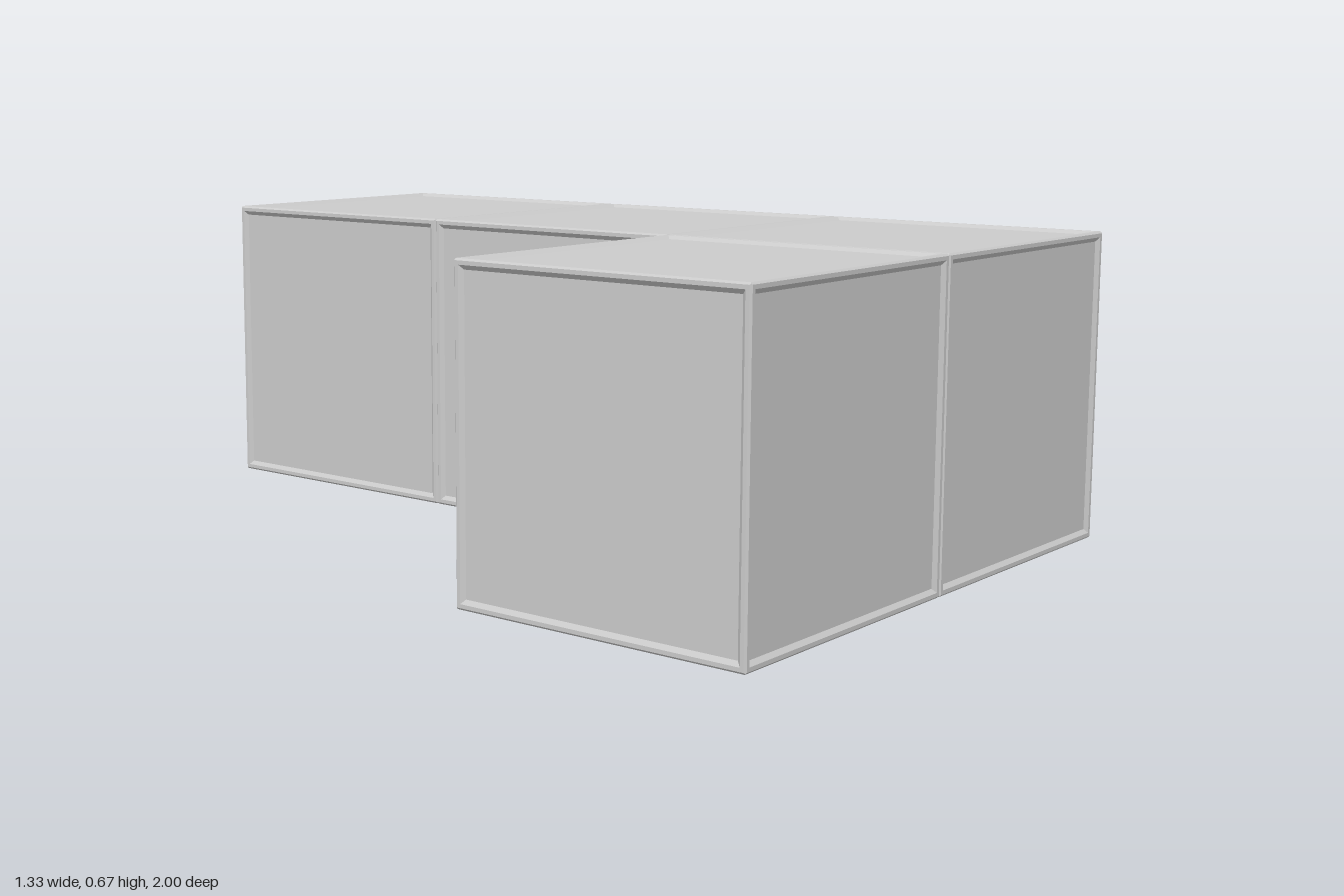
import * as THREE from 'three';
import { mergeGeometries } from 'three/addons/utils/BufferGeometryUtils.js';

const SIZE = 2 / 3;
const HEIGHT = 0.672;

// One cube side: narrow raised rim, sloped step and recessed square panel, facing +y
function sideGeometry() {
  const h = SIZE / 2, chamfer = 0.002, rim = 0.012, slope = 0.009, depth = 0.007;
  const profile = [
    [h - chamfer, h - chamfer],
    [h - chamfer * 2, h],
    [h - rim, h],
    [h - rim - slope, h - depth],
    [0, h - depth],
  ].map(([half, y]) => new THREE.Vector2(half * Math.SQRT2, y));
  const side = new THREE.LatheGeometry(profile, 4, Math.PI / 4).toNonIndexed();
  side.computeVertexNormals();
  return side;
}

// Six copies of the side close the cube
function cubeGeometry() {
  const side = sideGeometry();
  const q = Math.PI / 2;
  const turns = [[0, 0], [2 * q, 0], [q, 0], [-q, 0], [0, q], [0, -q]];
  const cube = mergeGeometries(turns.map(([x, z]) => side.clone().rotateX(x).rotateZ(z)));
  return cube.scale(1, HEIGHT / SIZE, 1);
}

export function createModel() {
  const model = new THREE.Group();
  model.name = 'lShapedBlock';
  const material = new THREE.MeshStandardMaterial({ color: 0xcccccc, flatShading: true });
  const geometry = cubeGeometry();

  // Row of three along z, with a foot beside the front cube
  const cubes = [
    ['frontCube', 0.5, 1],
    ['middleCube', 0.5, 0],
    ['backCube', 0.5, -1],
    ['footCube', -0.5, 1],
  ];
  for (const [name, x, z] of cubes) {
    const cube = new THREE.Mesh(geometry, material);
    cube.name = name;
    cube.position.set(x * SIZE, HEIGHT / 2, z * SIZE);
    model.add(cube);
  }
  return model;
}
